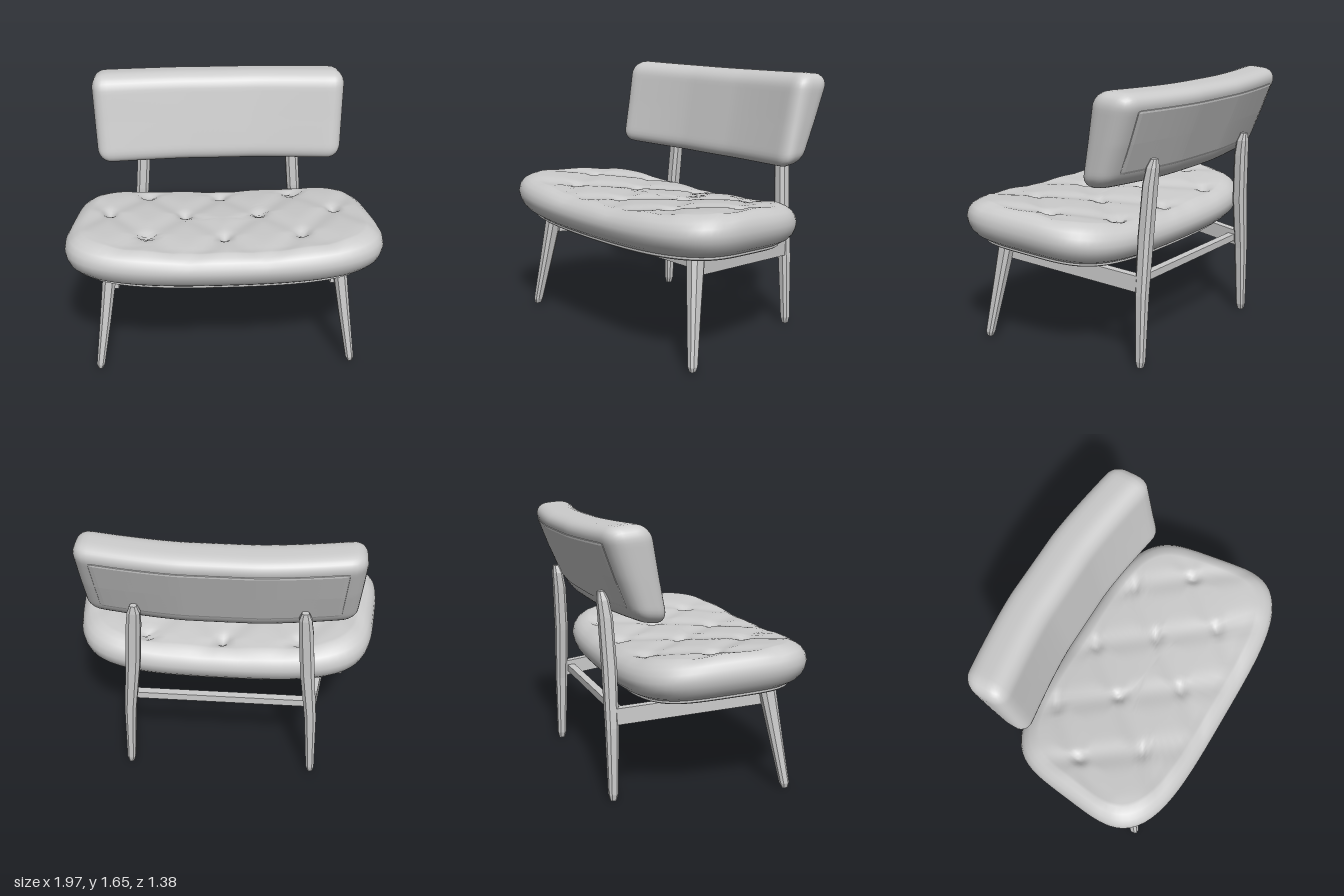
import * as THREE from 'three';
import { mergeVertices } from 'three/addons/utils/BufferGeometryUtils.js';

const smooth = new THREE.MeshStandardMaterial({ color: 0xcccccc });
const faceted = new THREE.MeshStandardMaterial({ color: 0xcccccc, flatShading: true });

function add(group, name, geometry, material) {
  const mesh = new THREE.Mesh(geometry, material);
  mesh.name = name;
  group.add(mesh);
}

// Skin between rings of equal point count, listed from bottom to top
function loft(rings) {
  const n = rings[0].length, index = [];
  for (let i = 0; i < rings.length - 1; i++) {
    for (let j = 0; j < n; j++) {
      const k = (j + 1) % n;
      const a = i * n + j, b = a + n, c = i * n + k, d = c + n;
      index.push(a, b, c, c, b, d);
    }
  }
  const geo = new THREE.BufferGeometry();
  geo.setAttribute('position', new THREE.Float32BufferAttribute(rings.flat(2), 3));
  geo.setIndex(index);
  const merged = mergeVertices(geo, 1e-5);
  merged.computeVertexNormals();
  return merged;
}

// Diamond tufting: shallow creases with a deep dimple where they cross
function tuft(x, z) {
  const u = x / 0.48, v = (z - 0.04) / 0.64;
  const p = Math.PI * (u + v), q = Math.PI * (u - v);
  const crease = Math.max(Math.abs(Math.sin(p)), Math.abs(Math.sin(q))) ** 6;
  const dimple = Math.abs(Math.sin(p) * Math.sin(q)) ** 20;
  return -0.014 * crease - 0.04 * dimple;
}

// Seat ring: inset factor s, height h above the tilted, dished middle plane
function seatRing(s, h, tufted) {
  const ring = [], n = 112;
  for (let j = 0; j < n; j++) {
    const a = (j / n) * Math.PI * 2;
    const c = Math.cos(a), d = Math.sin(a);
    const e = d > 0 ? 3.8 : 4.4;
    const k = (Math.abs(c) ** e + Math.abs(d) ** e) ** (-1 / e);
    const oz = d * k;
    // Ends are fuller than front and back; the plan narrows towards the back
    const x = s ** 0.6 * 0.99 * c * k * (0.975 + 0.066 * oz);
    const z = 0.11 + s * 0.57 * oz;
    const fade = tufted ? Math.min(1, (1 - s) / 0.25) : 0;
    const dish = (0.045 + 0.25 * Math.max(0, h)) * x * x;
    ring.push([x, 0.70 + 0.062 * z + dish + h + fade * tuft(x, z), z]);
  }
  return ring;
}

function seatCushion() {
  const edge = [[0, -0.08], [0.7, -0.083], [0.85, -0.075], [0.92, -0.05], [0.965, -0.02], [0.99, 0.015],
    [1, 0.045], [0.985, 0.08], [0.95, 0.11], [0.9, 0.132], [0.84, 0.148]];
  const rings = edge.map(([s, h]) => seatRing(s, h, h > 0.1));
  for (let i = 1; i <= 28; i++) {
    const s = 0.84 * (1 - i / 28);
    rings.push(seatRing(s, 0.167 - 0.027 * s * s, true));
  }
  return loft(rings);
}

// Box with rounded edges of radius r, then reshaped by the backrest rule
function backrestPart(w, h, d, r, zShift) {
  let geo = new THREE.BoxGeometry(w, h, d, 48, 24, 10);
  geo.deleteAttribute('normal');
  geo.deleteAttribute('uv');
  geo = mergeVertices(geo, 1e-5);
  const pos = geo.attributes.position;
  const p = new THREE.Vector3(), core = new THREE.Vector3();
  const limit = new THREE.Vector3(w / 2 - r, h / 2 - r, d / 2 - r);
  for (let i = 0; i < pos.count; i++) {
    p.fromBufferAttribute(pos, i);
    core.copy(p).clamp(limit.clone().negate(), limit);
    p.sub(core);
    if (p.lengthSq() > 0) p.setLength(r);
    p.add(core);
    // Lean back, thicken upwards, wrap the ends forward, widen the top
    const t = p.y / 0.28, depth = p.z + zShift;
    const bend = 0.08 * Math.max(0, (Math.abs(p.x) - 0.2) / 0.63) ** 1.4;
    const z = -0.5 - 0.08 * t + depth * (1 + 0.2 * t) + bend;
    const y = 1.36 + p.y + 0.1 * depth * t + 0.014 * Math.abs(t) * (p.x / 0.8) ** 2;
    pos.setXYZ(i, p.x * (1 + 0.02 * t), y, z);
  }
  geo.computeVertexNormals();
  return geo;
}

// Tapered leg through stations [x, y, z, halfWidthX, halfWidthZ], bevelled square section
function leg(stations) {
  const soften = (v) => Math.sign(v) * Math.abs(v) ** 0.75;
  const section = ([x, y, z, rx, rz]) => Array.from({ length: 8 }, (_, j) => {
    const a = (j + 0.5) * Math.PI / 4;
    return [x + rx * soften(Math.cos(a)), y, z + rz * soften(Math.sin(a))];
  });
  const cap = ([x, y, z]) => section([x, y, z, 0, 0]);
  return loft([cap(stations[0]), ...stations.map(section), cap(stations.at(-1))]);
}

// Straight bar between two points
function rail(from, to, thick, high) {
  const a = new THREE.Vector3(...from), b = new THREE.Vector3(...to);
  const geo = new THREE.BoxGeometry(thick, high, a.distanceTo(b));
  const place = new THREE.Object3D();
  place.position.copy(a).lerp(b, 0.5);
  place.lookAt(b);
  place.updateMatrix();
  return geo.applyMatrix4(place.matrix);
}

export function createModel() {
  const chair = new THREE.Group();
  chair.name = 'lowChair';

  // Upholstery
  add(chair, 'seatCushion', seatCushion(), smooth);
  add(chair, 'seatBoard', loft([[0, -0.098], [0.82, -0.098], [0.84, -0.09], [0.84, -0.06], [0, -0.06]]
    .map(([s, h]) => seatRing(s, h, false))), faceted);
  add(chair, 'backrestCushion', backrestPart(1.64, 0.56, 0.24, 0.09, 0), smooth);
  add(chair, 'backrestPanel', backrestPart(1.44, 0.39, 0.03, 0.012, -0.111), faceted);

  // Legs and side rails, mirrored
  for (const [side, m] of [['left', 1], ['right', -1]]) {
    add(chair, side + 'FrontLeg', leg([
      [m * 0.803, 0.01, 0.49, 0.016, 0.02],
      [m * 0.8, 0.04, 0.487, 0.027, 0.03],
      [m * 0.755, 0.35, 0.438, 0.037, 0.042],
      [m * 0.715, 0.65, 0.39, 0.045, 0.055],
    ]), faceted);
    add(chair, side + 'BackLeg', leg([
      [m * 0.585, 0, -0.54, 0.018, 0.02],
      [m * 0.583, 0.04, -0.54, 0.028, 0.03],
      [m * 0.565, 0.45, -0.537, 0.038, 0.04],
      [m * 0.53, 0.8, -0.537, 0.046, 0.044],
      [m * 0.508, 1.1, -0.55, 0.046, 0.042],
      [m * 0.5, 1.2, -0.562, 0.04, 0.035],
      [m * 0.498, 1.25, -0.572, 0.022, 0.02],
    ]), faceted);
    add(chair, side + 'SideRail',
      rail([m * 0.69, 0.582, 0.38], [m * 0.565, 0.515, -0.52], 0.05, 0.1), faceted);
  }

  // Cross rails between the side rails
  add(chair, 'frontCrossRail', rail([-0.67, 0.58, 0.32], [0.67, 0.58, 0.32], 0.05, 0.05), faceted);
  add(chair, 'backCrossRail', rail([-0.56, 0.515, -0.47], [0.56, 0.515, -0.47], 0.05, 0.045), faceted);

  return chair;
}
